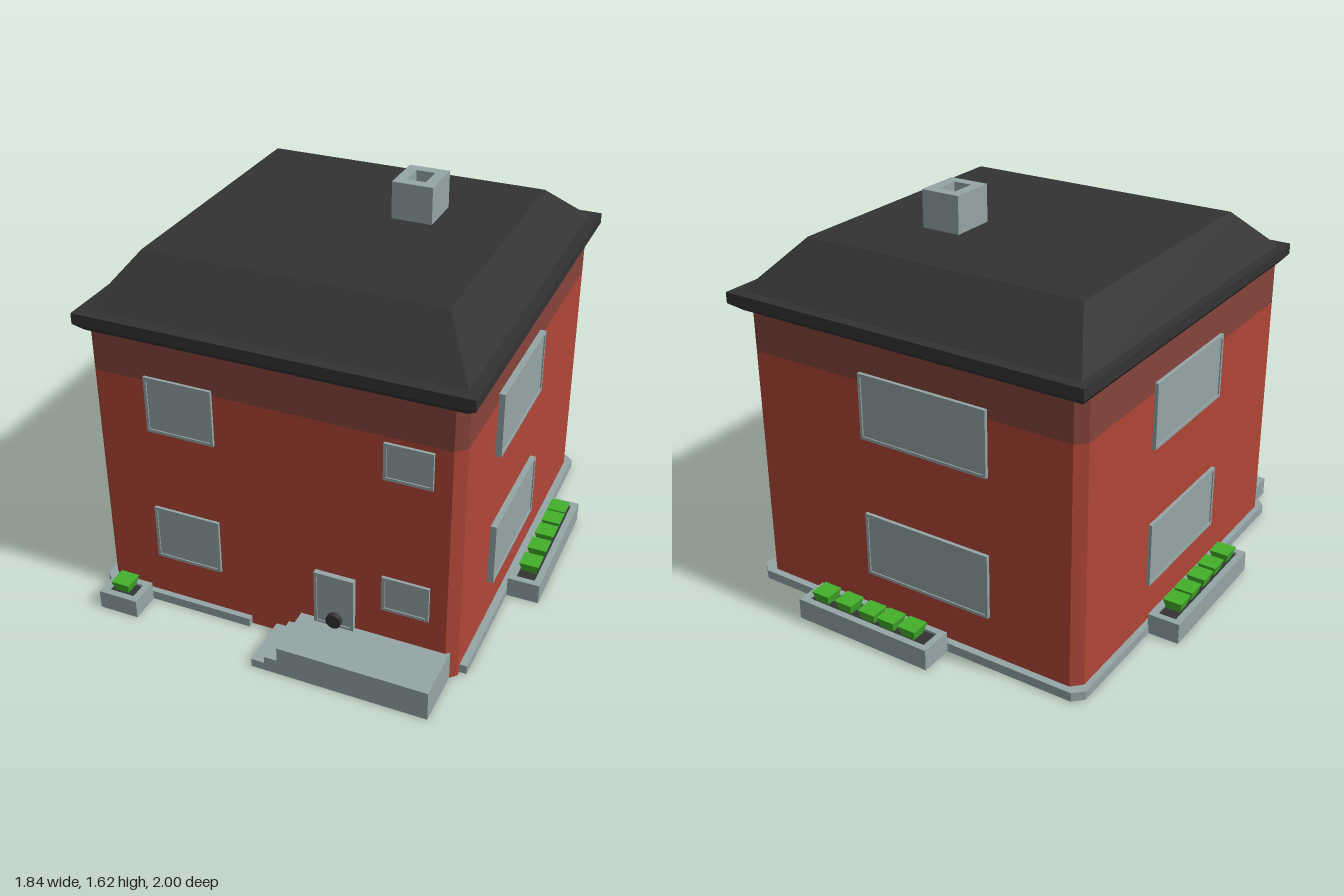
import * as THREE from 'three';

const mat = (name, color, side = THREE.FrontSide) => {
  const m = new THREE.MeshStandardMaterial({ color, side });
  m.name = name;
  return m;
};

export function createModel() {
  const house = new THREE.Group();
  house.name = 'house';
  const brick = mat('brick red', 0xb04637, THREE.DoubleSide);
  const band = mat('dark brick', 0x85433b, THREE.DoubleSide);
  const slate = mat('slate black', 0x333333);
  const stone = mat('stone grey', 0x95a5a6);
  const leaf = mat('leaf green', 0x43b02a);

  const add = (name, geo, material, parent = house) => {
    const mesh = new THREE.Mesh(geo, material);
    mesh.name = name;
    parent.add(mesh);
    return mesh;
  };
  const box = (name, x0, x1, y0, y1, z0, z1, material, parent) => {
    const m = add(name, new THREE.BoxGeometry(x1 - x0, y1 - y0, z1 - z0), material, parent);
    m.position.set((x0 + x1) / 2, (y0 + y1) / 2, (z0 + z1) / 2);
    return m;
  };

  // Flat-faced loft through horizontal rectangles [x0, x1, z0, z1, y], corners cut by c
  const loft = (rings, c = 0, caps = true) => {
    const loops = rings.map(([x0, x1, z0, z1, y]) => (c
      ? [[x0 + c, z1], [x1 - c, z1], [x1, z1 - c], [x1, z0 + c],
        [x1 - c, z0], [x0 + c, z0], [x0, z0 + c], [x0, z1 - c]]
      : [[x0, z1], [x1, z1], [x1, z0], [x0, z0]]).map(([x, z]) => [x, y, z]));
    const pos = [];
    const tri = (...p) => p.forEach((v) => pos.push(...v));
    const n = loops[0].length;
    for (let k = 0; k + 1 < loops.length; k++) {
      for (let i = 0; i < n; i++) {
        const j = (i + 1) % n, lo = loops[k], hi = loops[k + 1];
        tri(lo[i], lo[j], hi[j]);
        tri(lo[i], hi[j], hi[i]);
      }
    }
    if (caps) {
      const b = loops[0], t = loops[loops.length - 1];
      for (let i = 1; i + 1 < n; i++) {
        tri(b[0], b[i + 1], b[i]);
        tri(t[0], t[i], t[i + 1]);
      }
    }
    const g = new THREE.BufferGeometry();
    g.setAttribute('position', new THREE.Float32BufferAttribute(pos, 3));
    g.computeVertexNormals();
    return g;
  };

  const polygon = (pts) => new THREE.Shape(pts.map(([x, y]) => new THREE.Vector2(x, y)));
  // Rectangular frame with border t, extruded along z
  const frameGeo = (w, h, t, depth) => {
    const rect = (a, b) => [[-a, -b], [a, -b], [a, b], [-a, b]];
    const s = polygon(rect(w / 2, h / 2));
    s.holes.push(polygon(rect(w / 2 - t, h / 2 - t)));
    return new THREE.ExtrudeGeometry(s, { depth, bevelEnabled: false });
  };
  // Upright hollow box, open at both ends
  const hollow = (name, x0, x1, z0, z1, t, y0, y1, parent) => {
    const m = add(name, frameGeo(x1 - x0, z1 - z0, t, y1 - y0).rotateX(-Math.PI / 2), stone, parent);
    m.position.set((x0 + x1) / 2, y0, (z0 + z1) / 2);
  };

  // Walls with narrow cut corners
  const plan = [-0.765, 0.75, -0.83, 0.775];
  add('walls', loft([[...plan, 0], [...plan, 1.04]], 0.04, false), brick);
  add('upperWallBand', loft([[...plan, 1.04], [...plan, 1.215]], 0.04, false), band);

  // Hipped roof with flared eaves and flat top
  add('roof', loft([
    [-0.765, 0.75, -0.84, 0.775, 1.205],
    [-0.795, 0.79, -0.885, 0.81, 1.24],
    [-0.795, 0.79, -0.885, 0.81, 1.285],
    [-0.76, 0.745, -0.84, 0.76, 1.285],
    [-0.63, 0.6, -0.615, 0.55, 1.465],
  ]), slate);
  hollow('chimney', 0.125, 0.295, -0.285, -0.09, 0.045, 1.455, 1.62);

  // Windows: shallow frame and recessed pane, [x, y, z, turn, width, height, depth]
  const addWindow = (name, x, y, z, turn, w, h, depth) => {
    const g = new THREE.Group();
    g.name = name;
    g.position.set(x, y, z);
    g.rotation.y = turn;
    add('frame', frameGeo(w, h, 0.012, depth + 0.015), stone, g).position.z = -0.015;
    box('pane', -w / 2 + 0.012, w / 2 - 0.012, -h / 2 + 0.012, h / 2 - 0.012,
      0.001, depth - 0.005, stone, g);
    house.add(g);
  };
  for (const [level, dy] of [['lower', 0], ['upper', 0.597]]) {
    addWindow(level + 'FrontWideWindow', -0.378, 0.345 + dy, 0.775, 0, 0.285, 0.24, 0.012);
    addWindow(level + 'FrontSmallWindow', 0.546, 0.343 + dy, 0.775, 0, 0.19, 0.155, 0.012);
    addWindow(level + 'LeftWindow', 0.75, 0.346 + dy, 0.138, Math.PI / 2, 0.535, 0.272, 0.025);
    addWindow(level + 'RightWindow', -0.765, 0.346 + dy, -0.05, -Math.PI / 2, 0.55, 0.272, 0.015);
    addWindow(level + 'BackWindow', -0.09, 0.346 + dy, -0.83, Math.PI, 0.57, 0.272, 0.015);
  }

  // Door with dark round knob
  addWindow('door', 0.258, 0.245, 0.775, 0, 0.165, 0.24, 0.022);
  const knob = add('doorKnob', new THREE.CylinderGeometry(0.032, 0.032, 0.025, 12), slate);
  knob.rotation.x = Math.PI / 2;
  knob.position.set(0.262, 0.16, 0.8);

  // Entrance platform and side steps
  box('platform', 0.11, 0.725, 0, 0.127, 0.745, 1, stone);
  box('upperStep', 0.055, 0.11, 0, 0.065, 0.745, 1, stone);
  box('lowerStep', 0, 0.055, 0, 0.035, 0.745, 1, stone);

  // Kerb round the base, broken at the entrance
  const kerb = polygon([
    [-0.11, 0.8], [-0.755, 0.8], [-0.79, 0.765], [-0.79, -0.82], [-0.75, -0.86],
    [0.735, -0.86], [0.78, -0.82], [0.78, 0.715], [0.75, 0.715], [0.75, -0.79],
    [0.71, -0.83], [-0.725, -0.83], [-0.765, -0.79], [-0.765, 0.735], [-0.725, 0.775],
    [-0.11, 0.775],
  ].map(([x, z]) => [x, -z]));
  add('kerb', new THREE.ExtrudeGeometry(kerb, { depth: 0.038, bevelEnabled: false })
    .rotateX(-Math.PI / 2), stone);

  // Planters: stone trough, dark soil and flared plants
  const plantGeo = loft([
    [-0.03, 0.03, -0.03, 0.03, 0], [-0.041, 0.041, -0.041, 0.041, 0.043],
  ]);
  const planter = (name, x0, x1, z0, z1, top, plants) => {
    const g = new THREE.Group();
    g.name = name;
    hollow('trough', x0, x1, z0, z1, 0.028, 0, top, g);
    const soil = add('soil', new THREE.PlaneGeometry(x1 - x0 - 0.05, z1 - z0 - 0.05)
      .rotateX(-Math.PI / 2), slate, g);
    soil.position.set((x0 + x1) / 2, top - 0.01, (z0 + z1) / 2);
    for (const [x, z] of plants) add('plant', plantGeo, leaf, g).position.set(x, top + 0.002, z);
    house.add(g);
  };
  planter('leftPlanter', 0.78, 0.915, -0.42, 0.205, 0.088,
    [-0.31, -0.22, -0.12, -0.01, 0.105].map((z) => [0.85, z]));
  planter('rightPlanter', -0.92, -0.785, -0.335, 0.285, 0.088,
    [-0.23, -0.135, -0.025, 0.075, 0.19].map((z) => [-0.855, z]));
  planter('backPlanter', -0.195, 0.43, -1, -0.86, 0.088,
    [-0.09, 0.01, 0.105, 0.22, 0.335].map((x) => [x, -0.94]));
  planter('frontPlanter', -0.725, -0.555, 0.8, 0.93, 0.08, [[-0.64, 0.865]]);

  return house;
}
